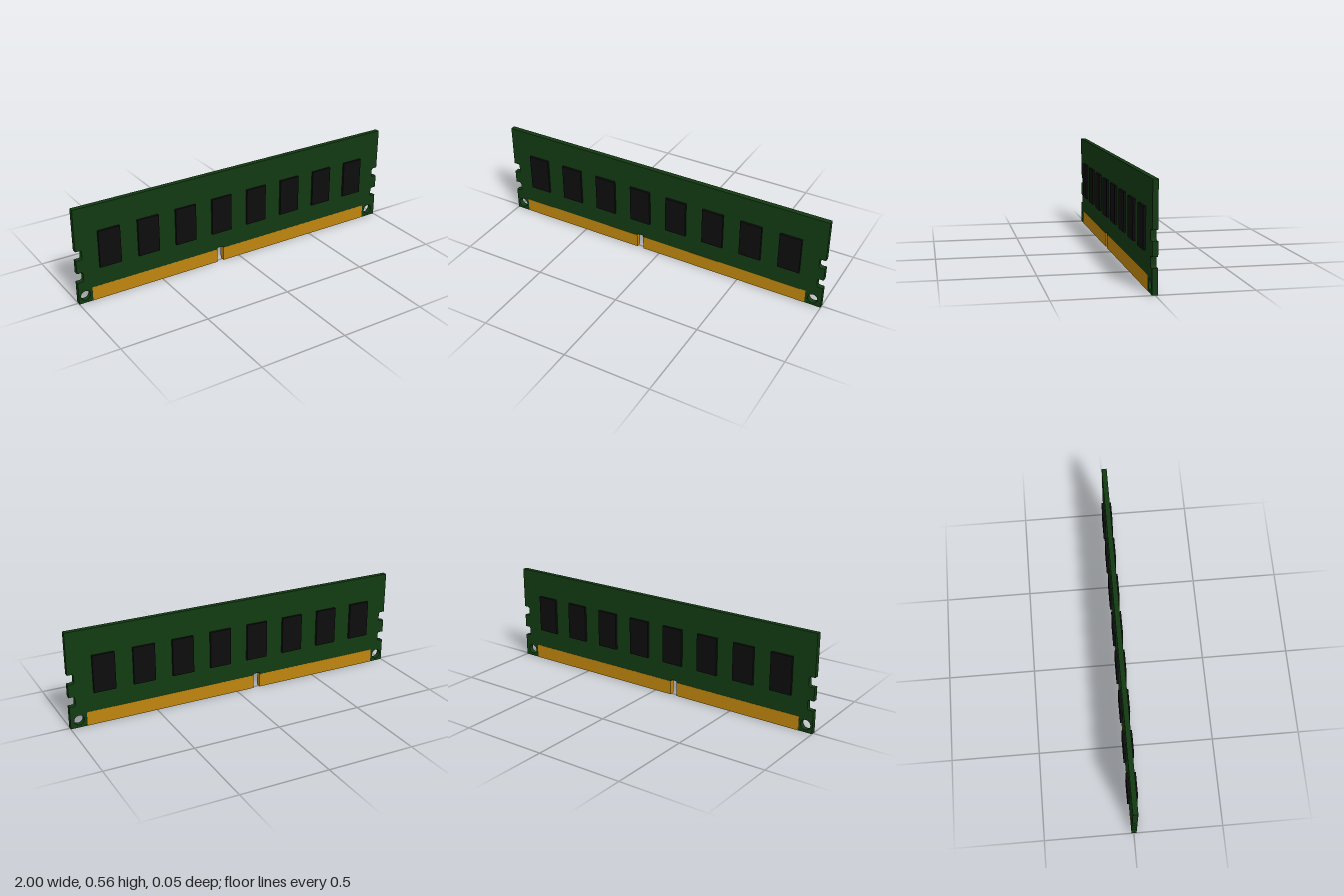
import * as THREE from 'three';

const HEIGHT = 0.555, BACK = -0.013, FRONT = 0.0155;
const GOLD_TOP = 0.08, GOLD_L = -0.92, GOLD_R = 0.906, KEY_L = -0.145, KEY_R = -0.105, KEY_TOP = 0.09;
const DEPTH = 0.035, ROUND = 0.013;

// Side notch with rounded inner corners; side is +1 or -1, drawn from y0 to y1
function sideNotch(shape, side, y0, y1) {
  const dir = Math.sign(y1 - y0), inner = side * (1 - DEPTH);
  shape.lineTo(side, y0);
  shape.lineTo(inner + side * ROUND, y0);
  shape.quadraticCurveTo(inner, y0, inner, y0 + dir * ROUND);
  shape.lineTo(inner, y1 - dir * ROUND);
  shape.quadraticCurveTo(inner, y1, inner + side * ROUND, y1);
  shape.lineTo(side, y1);
}

export function createModel() {
  const group = new THREE.Group();
  const green = new THREE.MeshStandardMaterial({ color: 0x123a12 });
  const gold = new THREE.MeshStandardMaterial({ color: 0xc0860e });
  const black = new THREE.MeshStandardMaterial({ color: 0x0d0d0d });

  function box(name, x0, x1, y0, y1, z0, z1, material) {
    const mesh = new THREE.Mesh(new THREE.BoxGeometry(x1 - x0, y1 - y0, z1 - z0), material);
    mesh.position.set((x0 + x1) / 2, (y0 + y1) / 2, (z0 + z1) / 2);
    mesh.name = name;
    group.add(mesh);
  }

  // Circuit board outline, leaving room for the contact strips and the key slot
  const outline = new THREE.Shape();
  outline.moveTo(-1, 0);
  outline.lineTo(GOLD_L, 0);
  outline.lineTo(GOLD_L, GOLD_TOP);
  outline.lineTo(KEY_L, GOLD_TOP);
  outline.quadraticCurveTo(KEY_L, KEY_TOP, KEY_L + 0.01, KEY_TOP);
  outline.lineTo(KEY_R - 0.01, KEY_TOP);
  outline.quadraticCurveTo(KEY_R, KEY_TOP, KEY_R, GOLD_TOP);
  outline.lineTo(GOLD_R, GOLD_TOP);
  outline.lineTo(GOLD_R, 0);
  outline.lineTo(1, 0);
  sideNotch(outline, 1, 0.13, 0.185);
  sideNotch(outline, 1, 0.26, 0.315);
  outline.lineTo(1, HEIGHT);
  outline.lineTo(-1, HEIGHT);
  sideNotch(outline, -1, 0.315, 0.26);
  sideNotch(outline, -1, 0.185, 0.13);
  outline.closePath();

  // Mounting holes in the lower corners
  for (const x of [-0.96, 0.95]) {
    outline.holes.push(new THREE.Path().absarc(x, 0.043, 0.028, 0, Math.PI * 2, true));
  }
  const board = new THREE.Mesh(new THREE.ExtrudeGeometry(outline, {
    depth: FRONT - BACK, bevelEnabled: false, curveSegments: 16,
  }), green);
  board.position.z = BACK;
  board.name = 'circuitBoard';
  group.add(board);

  // Gold edge contacts on either side of the key slot
  box('contactStripRight', GOLD_L, KEY_L, 0, GOLD_TOP, BACK - 0.001, FRONT + 0.0005, gold);
  box('contactStripLeft', KEY_R, GOLD_R, 0, GOLD_TOP, BACK - 0.001, FRONT + 0.0005, gold);

  // Eight memory chips on each face
  for (let i = 0; i < 8; i++) {
    const x = -0.808 + i * 0.2296;
    box('frontChip' + (i + 1), x - 0.063, x + 0.063, 0.19, 0.405, FRONT, 0.028, black);
    box('backChip' + (i + 1), x - 0.063, x + 0.063, 0.19, 0.405, -0.027, BACK, black);
  }
  return group;
}
